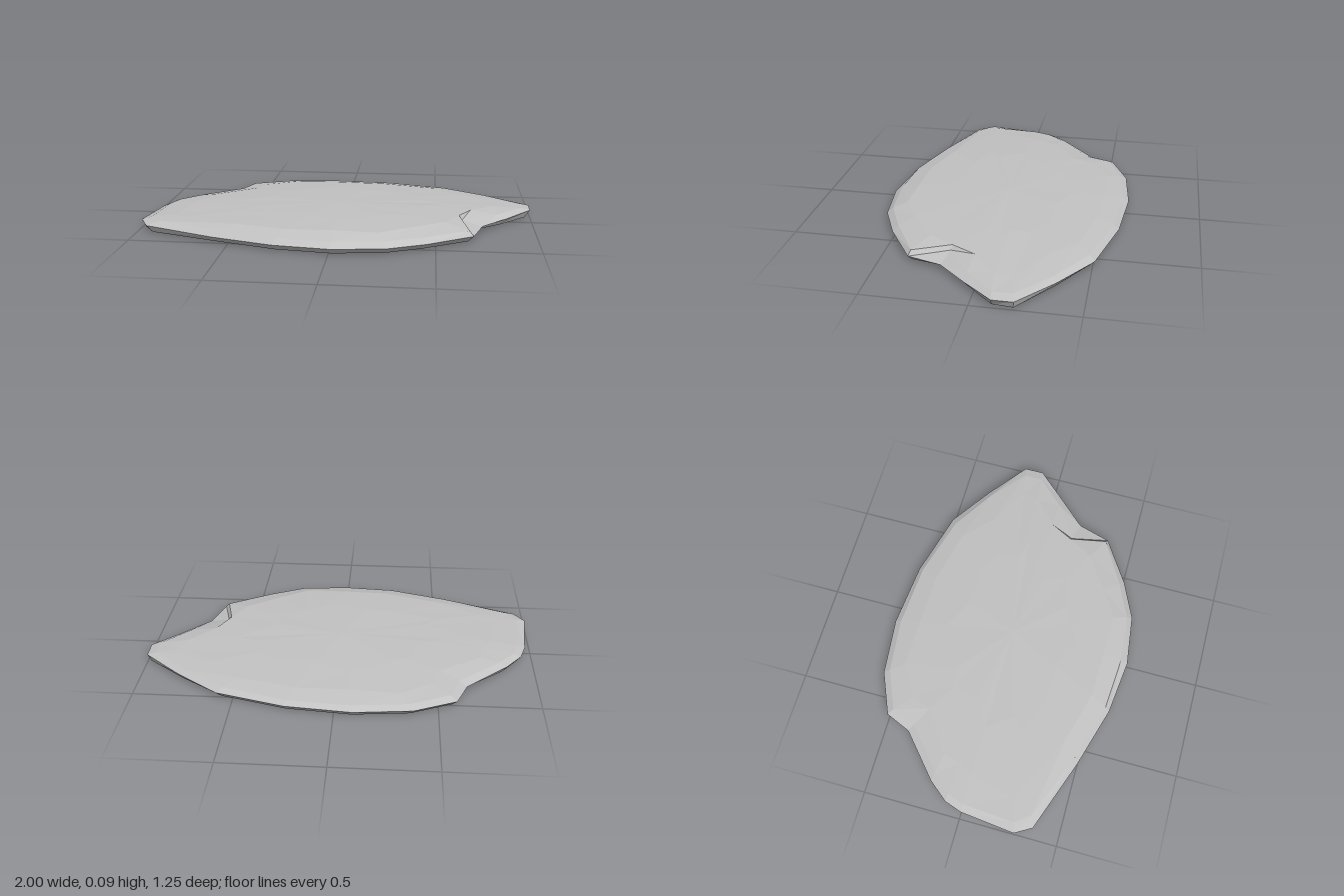
import * as THREE from 'three';

// Rim corners, clockwise from the back: x, z, height, underside scale, shoulder scale
const RIM = [
  [-0.09, -0.63, 0.03, 0.96, 0.95], [0.24, -0.60, 0.03, 0.96, 0.96],
  [0.58, -0.51, 0.03, 0.96, 0.95], [0.80, -0.36, 0.032, 0.97, 0.96],
  [1.00, -0.20, 0.04, 0.98, 0.95], [1.00, -0.10, 0.04, 0.97, 0.95],
  [0.865, 0.05, 0.032, 0.96, 0.94], [0.735, 0.19, 0.03, 0.91, 0.86],
  [0.685, 0.36, 0.03, 0.96, 0.97], [0.46, 0.505, 0.03, 0.95, 0.95],
  [0.27, 0.592, 0.03, 0.95, 0.95], [0.01, 0.625, 0.03, 0.95, 0.94],
  [-0.27, 0.592, 0.03, 0.95, 0.96], [-0.58, 0.50, 0.03, 0.95, 0.96],
  [-0.95, 0.365, 0.035, 0.97, 0.94], [-1.00, 0.28, 0.042, 0.98, 0.95],
  [-0.97, 0.00, 0.035, 0.97, 0.96], [-0.94, -0.09, 0.035, 0.97, 0.96],
  [-0.86, -0.19, 0.035, 0.97, 0.95], [-0.645, -0.38, 0.03, 0.95, 0.94],
  [-0.59, -0.51, 0.03, 0.96, 0.95], [-0.38, -0.60, 0.03, 0.96, 0.95],
];

// Gentle dome of the upper face, highest a little towards the front
const dome = (x, z) => 0.09 - 0.038 * x * x - 0.066 * (z - 0.1) ** 2;

// Repeatable irregularity for the worn facets
const wobble = (i, k) => Math.sin(i * 2.3 + k * 4.1);

// One ring of the upper face, scaled from the rim
const domeRing = (scale, vary, k) => RIM.map(([x, z], i) => {
  const f = scale + vary * wobble(i, k);
  return new THREE.Vector3(x * f, dome(x * f, z * f) + 0.0008 * scale * wobble(i, k + 1), z * f);
});

function stoneGeometry() {
  // Cross-sections from the underside's middle, round the rim, to the crown
  const rings = [
    RIM.map(() => new THREE.Vector3(0, 0, 0)),
    RIM.map(([x, z, , b]) => new THREE.Vector3(x * b, 0, z * b)),
    RIM.map(([x, z, y]) => new THREE.Vector3(x, y, z)),
    RIM.map(([x, z, , , t]) => new THREE.Vector3(x * t, 0.052 + 0.006 * z, z * t)),
    domeRing(0.81, 0.03, 1),
    domeRing(0.5, 0.06, 2),
    RIM.map(() => new THREE.Vector3(0, dome(0, 0), 0)),
  ];
  const points = [];
  for (let r = 0; r < rings.length - 1; r++) {
    for (let i = 0; i < RIM.length; i++) {
      const j = (i + 1) % RIM.length;
      const a = rings[r][i], b = rings[r][j], c = rings[r + 1][i], d = rings[r + 1][j];
      if (r > 0) points.push(a, c, b);
      if (r < rings.length - 2) points.push(b, c, d);
    }
  }
  const geometry = new THREE.BufferGeometry().setFromPoints(points);
  geometry.computeVertexNormals();
  return geometry;
}

export function createModel() {
  const group = new THREE.Group();
  group.name = 'flatStone';
  const stone = new THREE.MeshStandardMaterial({ color: 0xc2c2c2, flatShading: true });
  stone.name = 'grey stone';
  const slab = new THREE.Mesh(stoneGeometry(), stone);
  slab.name = 'stoneSlab';
  group.add(slab);
  return group;
}
